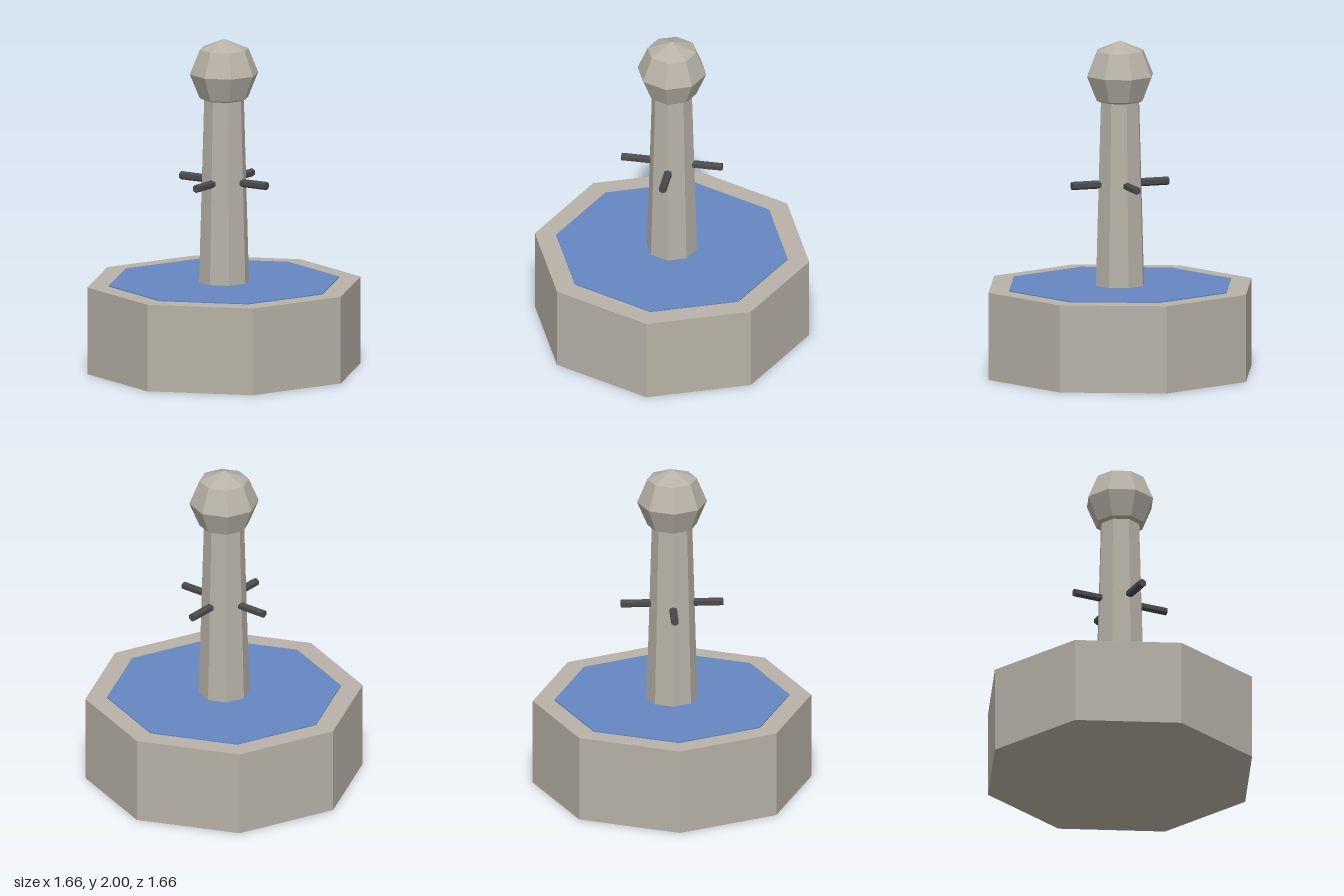
import * as THREE from 'three';

const material = (name, color) => {
  const m = new THREE.MeshStandardMaterial({ color, flatShading: true });
  m.name = name;
  return m;
};

export function createModel() {
  const stone = material('stone', 0xb8b2a7);
  const water = material('water', 0x6487c2);
  const iron = material('dark iron', 0x4a4a4c);
  const group = new THREE.Group();
  group.name = 'fountain';

  const add = (name, geometry, mat, y) => {
    const mesh = new THREE.Mesh(geometry, mat);
    mesh.name = name;
    mesh.position.y = y;
    group.add(mesh);
    return mesh;
  };

  // Octagonal basin with a thin sheet of water on top
  add('basin', new THREE.CylinderGeometry(0.83, 0.83, 0.525, 8), stone, 0.2625);
  add('waterSurface', new THREE.CylinderGeometry(0.7, 0.7, 0.008, 8), water, 0.527);

  // Tapered column and faceted ball finial
  add('column', new THREE.CylinderGeometry(0.12, 0.152, 1.14, 8), stone, 1.09);
  add('finial', new THREE.SphereGeometry(0.208, 8, 4), stone, 1.792);

  // Four hexagonal spouts, one per side
  const length = 0.2;
  const spout = new THREE.CylinderGeometry(0.025, 0.025, length, 6);
  spout.rotateX(Math.PI / 2).translate(0, 0, 0.305 - length / 2);
  for (let i = 0; i < 4; i++) {
    add('spout', spout, iron, 1.14).rotation.y = (i * Math.PI) / 2;
  }
  return group;
}
